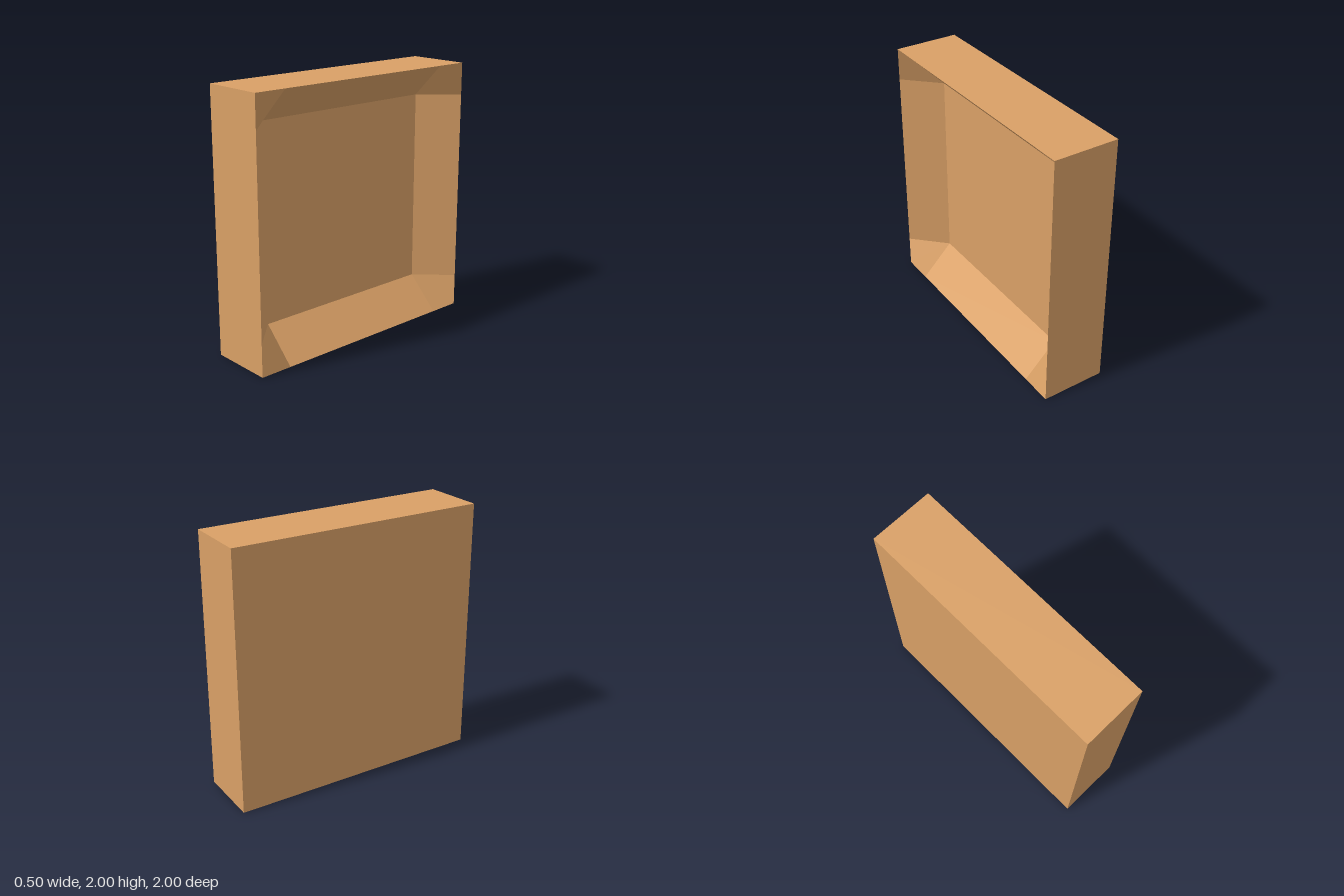
import * as THREE from 'three';

const material = new THREE.MeshStandardMaterial({ color: 0xd9a066 });

// One four-cornered face with a single even normal; it folds along a-c.
function face(name, a, b, c, d) {
  const p = [a, b, c, d].map((v) => new THREE.Vector3(...v));
  const n = p[2].clone().sub(p[0]).cross(p[3].clone().sub(p[1])).normalize();
  const geometry = new THREE.BufferGeometry().setFromPoints(p);
  geometry.setAttribute('normal', new THREE.Float32BufferAttribute(p.flatMap(() => n.toArray()), 3));
  geometry.setIndex([0, 1, 2, 0, 2, 3]);
  const mesh = new THREE.Mesh(geometry, material);
  mesh.name = name;
  return mesh;
}

export function createModel() {
  const group = new THREE.Group();
  group.name = 'recessedPanel';

  const H = 1;      // half the outer width
  const I = 0.75;   // half the recess floor
  const X = 0.25;   // rim and back distance from the middle
  const F = 0;      // recess floor

  // Back and recess floor
  group.add(
    face('back', [-X, -H, -H], [-X, -H, H], [-X, H, H], [-X, H, -H]),
    face('recessFloor', [F, -I, I], [F, -I, -I], [F, I, -I], [F, I, I]),
  );

  // Four sides: outer wall, slope down to the floor, and folded corner
  for (let i = 0; i < 4; i++) {
    const side = new THREE.Group();
    side.name = 'side' + (i + 1);
    side.add(
      face('outerWall', [-X, -H, H], [-X, -H, -H], [X, -H, -H], [X, -H, H]),
      face('slope', [X, -H, I], [X, -H, -I], [F, -I, -I], [F, -I, I]),
      face('cornerSlope', [X, -H, -H], [X, -I, -H], [F, -I, -I], [X, -H, -I]),
    );
    side.rotation.x = (i * Math.PI) / 2;
    group.add(side);
  }

  group.position.y = H;
  const model = new THREE.Group();
  model.add(group);
  return model;
}
